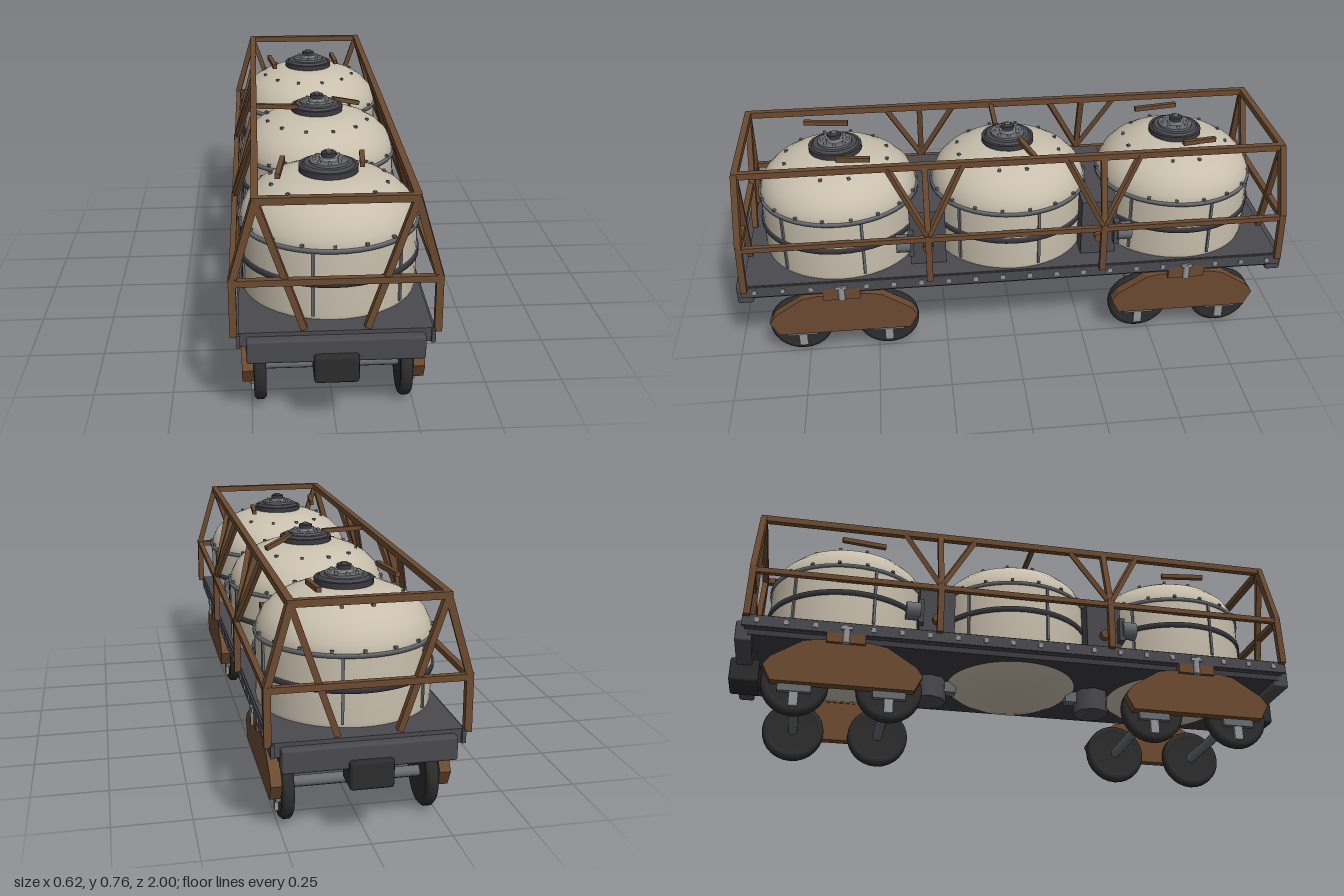
import * as THREE from 'three';
import { RoundedBoxGeometry } from 'three/addons/geometries/RoundedBoxGeometry.js';

const paint = (name, color) => Object.assign(new THREE.MeshStandardMaterial({ color }), { name });

export function createModel() {
  const cream = paint('creamTank', 0xc8bfad);
  const brown = paint('rustBrown', 0x6b4a30);
  const dark = paint('chassisGrey', 0x4a494f);
  const band = paint('darkBand', 0x3b3a40);
  const black = paint('rubberBlack', 0x2c2c2d);
  const steel = paint('steelGrey', 0x686b70);
  const light = paint('lightSteel', 0x94979a);

  const model = new THREE.Group();
  model.name = 'tankWagon';

  const add = (parent, name, geo, mat, x = 0, y = 0, z = 0) => {
    const m = new THREE.Mesh(geo, mat);
    m.name = name;
    m.position.set(x, y, z);
    parent.add(m);
    return m;
  };
  const box = (p, name, mat, w, h, d, x, y, z) => add(p, name, new THREE.BoxGeometry(w, h, d), mat, x, y, z);
  const cyl = (p, name, mat, r, h, x, y, z, n = 24, axis = 'y', r2 = r) => {
    const g = new THREE.CylinderGeometry(r2, r, h, n);
    if (axis === 'x') g.rotateZ(Math.PI / 2);
    if (axis === 'z') g.rotateX(Math.PI / 2);
    return add(p, name, g, mat, x, y, z);
  };
  // square bar between two points
  const bar = (p, name, mat, a, b, t = 0.022) => {
    const A = new THREE.Vector3(...a), B = new THREE.Vector3(...b);
    const m = add(p, name, new THREE.BoxGeometry(t, t, A.distanceTo(B)), mat);
    m.position.copy(A).add(B).multiplyScalar(0.5);
    if (Math.abs(A.x - B.x) + Math.abs(A.z - B.z) < 1e-4) m.rotation.x = Math.PI / 2;
    else m.lookAt(B);
    return m;
  };
  const group = (name, x = 0, y = 0, z = 0) => {
    const g = new THREE.Group();
    g.name = name;
    g.position.set(x, y, z);
    model.add(g);
    return g;
  };

  // Tanks
  const profile = [[0, 0.19], [0.05, 0.191], [0.11, 0.199], [0.16, 0.214], [0.205, 0.235], [0.245, 0.265],
    [0.27, 0.3], [0.278, 0.335], [0.278, 0.545], [0.272, 0.575], [0.255, 0.61], [0.225, 0.64],
    [0.185, 0.664], [0.14, 0.682], [0.1, 0.691], [0, 0.695]].map(p => new THREE.Vector2(...p));
  const shell = new THREE.LatheGeometry(profile, 48);
  const hoop = (r, y, h) => new THREE.LatheGeometry(
    [[r - 0.012, y - h], [r, y - h], [r, y + h], [r - 0.012, y + h]].map(p => new THREE.Vector2(...p)), 48);
  const bolt = new THREE.BoxGeometry(0.01, 0.008, 0.01);

  for (const z of [-0.61, 0, 0.61]) {
    const t = group('tank', 0, 0, z);
    add(t, 'tankShell', shell, cream);
    add(t, 'seamHoop', hoop(0.284, 0.546, 0.006), steel);
    add(t, 'middleBand', hoop(0.285, 0.441, 0.009), band);
    const around = (n, start, f) => {
      for (let i = 0; i < n; i++) f(start + i * Math.PI * 2 / n);
    };
    around(18, 0, a => {
      add(t, 'seamBolt', bolt, steel, 0.279 * Math.sin(a), 0.559, 0.279 * Math.cos(a)).rotation.y = a;
    });
    around(12, Math.PI / 12, a => {
      add(t, 'domeBolt', bolt, steel, 0.184 * Math.sin(a), 0.667, 0.184 * Math.cos(a)).rotation.y = a;
    });
    around(6, -0.23, a => {
      box(t, 'tankRib', steel, 0.009, 0.205, 0.01, 0.279 * Math.sin(a), 0.438, 0.279 * Math.cos(a)).rotation.y = a;
    });
    // hatch
    cyl(t, 'hatchFlange', band, 0.093, 0.018, 0, 0.702, 0, 24);
    cyl(t, 'hatchRing', dark, 0.084, 0.01, 0, 0.714, 0, 24, 'y', 0.076);
    cyl(t, 'hatchPlate', steel, 0.06, 0.01, 0, 0.722, 0, 24);
    around(8, 0, a => cyl(t, 'hatchBolt', light, 0.006, 0.008, 0.046 * Math.sin(a), 0.73, 0.046 * Math.cos(a), 6));
    cyl(t, 'hatchNeck', light, 0.03, 0.014, 0, 0.731, 0, 12);
    cyl(t, 'hatchKnob', band, 0.024, 0.015, 0, 0.743, 0, 8);
    cyl(t, 'hatchCap', steel, 0.012, 0.007, 0, 0.753, 0, 6);
    bar(t, 'hatchHandle', brown, [0.06, 0.721, -0.036], [0.16, 0.687, -0.09], 0.016);
    bar(t, 'hatchBrace', brown, [-0.23, 0.722, 0.038], [-0.07, 0.715, 0.036], 0.016);
  }

  // Chassis
  const chassis = group('chassis');
  box(chassis, 'deck', dark, 0.57, 0.045, 1.9, 0, 0.3, 0);
  box(chassis, 'underframe', band, 0.53, 0.02, 1.88, 0, 0.268, 0);
  for (const s of [-1, 1]) {
    box(chassis, 'sideSill', dark, 0.012, 0.04, 1.92, s * 0.285, 0.299, 0);
    for (let i = 0; i < 20; i++) {
      box(chassis, 'sillRivet', light, 0.006, 0.016, 0.014, s * 0.292, 0.299, -0.912 + i * 0.096);
    }
    add(chassis, 'bufferBeam', new RoundedBoxGeometry(0.524, 0.075, 0.055, 2, 0.008), dark, 0, 0.272, s * 0.952);
    add(chassis, 'coupler', new RoundedBoxGeometry(0.134, 0.09, 0.1, 1, 0.01), black, 0, 0.219, s * 0.95);
  }

  // Equipment between the tanks
  for (const s of [-1, 1]) {
    const e = group('equipment', 0, 0, s * 0.305);
    box(e, 'equipmentCabinet', dark, 0.42, 0.22, 0.126, 0, 0.425, 0);
    cyl(e, 'drainSump', dark, 0.066, 0.09, 0, 0.222, 0, 8);
    bar(e, 'drainPipe', steel, [0, 0.235, -s * 0.04], [0, 0.235, -s * 0.1], 0.04);
    for (const k of [-1, 1]) {
      cyl(e, 'sideValve', steel, 0.032, 0.05, k * 0.225, 0.422, s * 0.087, 12, 'z');
      box(e, 'valveBracket', dark, 0.05, 0.09, 0.02, k * 0.215, 0.42, s * 0.06);
      cyl(e, 'valveWheel', brown, 0.018, 0.03, k * 0.22, 0.4, 0, 10, 'x');
    }
  }

  // Protective cage
  const cage = group('cage');
  for (const s of [-1, 1]) {
    bar(cage, 'topRail', brown, [s * 0.228, 0.728, -0.94], [s * 0.228, 0.728, 0.94]);
    bar(cage, 'sideRail', brown, [s * 0.298, 0.482, -0.945], [s * 0.298, 0.482, 0.945], 0.018);
    for (const e of [-1, 1]) {
      bar(cage, 'endPost', brown, [s * 0.298, 0.312, e * 0.946], [s * 0.298, 0.495, e * 0.941]);
      bar(cage, 'endSlope', brown, [s * 0.298, 0.49, e * 0.941], [s * 0.228, 0.73, e * 0.93]);
      bar(cage, 'endDiagonal', brown, [s * 0.226, 0.722, e * 0.93], [s * 0.092, 0.328, e * 0.942], 0.02);
      const z = e * 0.305;
      bar(cage, 'middlePost', brown, [s * 0.298, 0.312, z], [s * 0.298, 0.495, z]);
      bar(cage, 'middleSlope', brown, [s * 0.298, 0.49, z], [s * 0.228, 0.728, z], 0.02);
      for (const k of [-1, 1]) {
        bar(cage, 'middleBrace', brown, [s * 0.296, 0.492, z], [s * 0.23, 0.724, z + k * 0.125], 0.018);
      }
    }
  }
  for (const e of [-1, 1]) {
    bar(cage, 'endTopRail', brown, [-0.235, 0.728, e * 0.93], [0.235, 0.728, e * 0.93]);
    bar(cage, 'endMiddleRail', brown, [-0.305, 0.482, e * 0.943], [0.305, 0.482, e * 0.943], 0.02);
  }

  // Bogies
  const outline = [[-0.235, 0.097], [0.235, 0.097], [0.262, 0.15], [0.24, 0.182], [0.14, 0.246], [0.09, 0.256],
    [-0.09, 0.256], [-0.14, 0.246], [-0.24, 0.182], [-0.262, 0.15]].map(p => new THREE.Vector2(...p));
  const plate = new THREE.ExtrudeGeometry(new THREE.Shape(outline), { depth: 0.035, bevelEnabled: false });
  plate.translate(0, 0, -0.0175).rotateY(Math.PI / 2);
  const tyre = new THREE.LatheGeometry([[0, -0.015], [0.085, -0.015], [0.09, -0.019], [0.102, -0.019], [0.111, -0.01],
    [0.111, 0.01], [0.102, 0.019], [0.09, 0.019], [0.085, 0.015], [0, 0.015]].map(p => new THREE.Vector2(...p)), 28);
  tyre.rotateZ(Math.PI / 2);

  for (const e of [-1, 1]) {
    const b = group('bogie', 0, 0, e * 0.617);
    for (const s of [-1, 1]) {
      add(b, 'bogieSideFrame', plate, brown, s * 0.261, 0, 0);
      box(b, 'bogieBracket', brown, 0.05, 0.045, 0.13, s * 0.266, 0.268, 0);
      cyl(b, 'suspensionPin', light, 0.012, 0.055, s * 0.288, 0.272, 0, 10);
      box(b, 'suspensionCap', light, 0.02, 0.012, 0.04, s * 0.288, 0.298, 0);
    }
    for (const k of [-1, 1]) {
      const z = k * 0.155;
      cyl(b, 'axle', steel, 0.018, 0.45, 0, 0.111, z, 10, 'x');
      for (const s of [-1, 1]) {
        add(b, 'wheel', tyre, black, s * 0.224, 0.111, z);
        box(b, 'axleBoxBar', steel, 0.018, 0.025, 0.11, s * 0.247, 0.085, z);
        box(b, 'axleBoxStem', light, 0.012, 0.055, 0.03, s * 0.246, 0.052, z);
      }
    }
  }
  return model;
}
